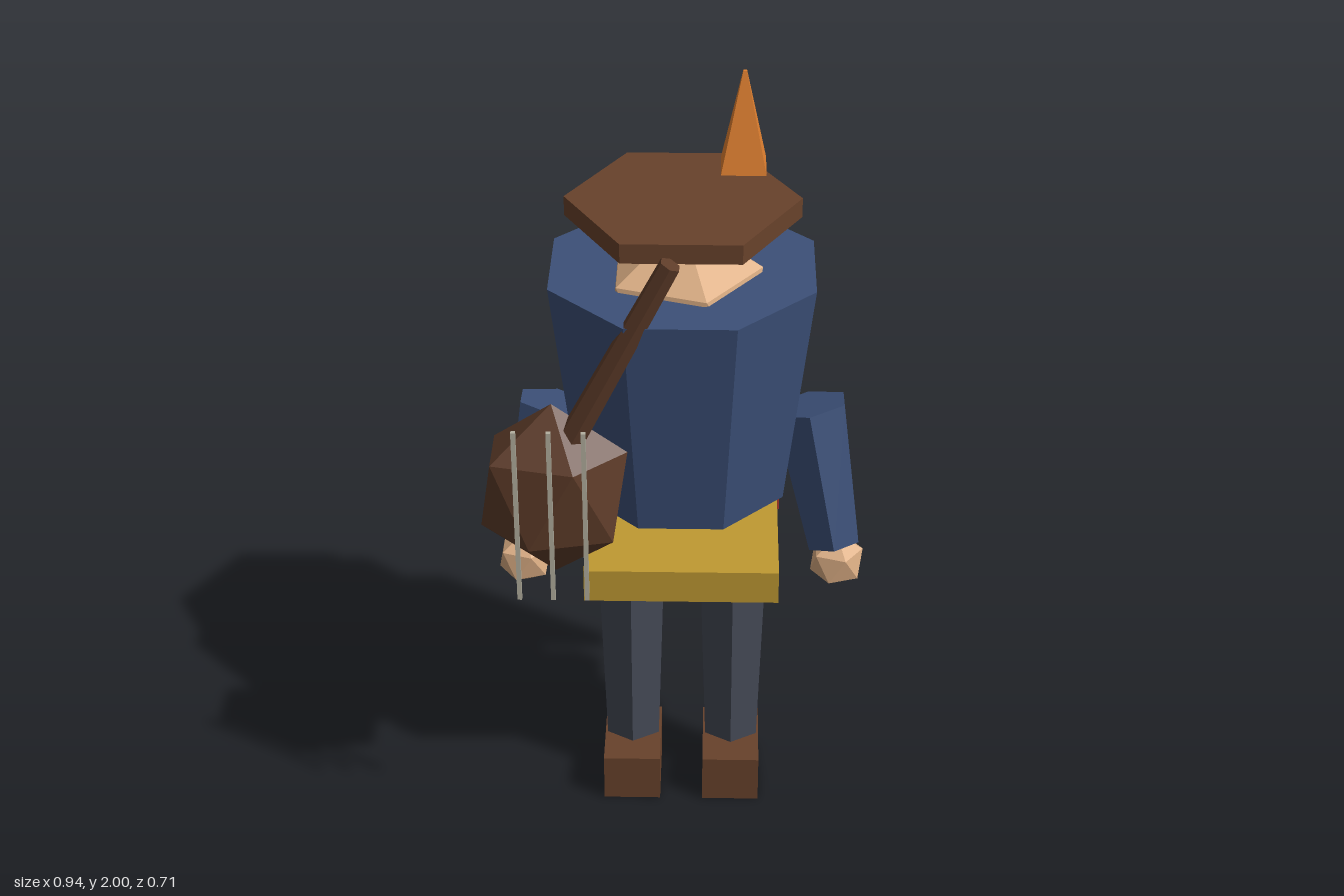
import * as THREE from 'three';
import { ConvexGeometry } from 'three/addons/geometries/ConvexGeometry.js';

const paint = (name, color) => {
  const m = new THREE.MeshStandardMaterial({ color, flatShading: true });
  m.name = name;
  return m;
};

// Icosahedron standing on one corner, with radii rx, ry, rz
function gem(rx, ry, rz) {
  const points = [new THREE.Vector3(0, ry, 0), new THREE.Vector3(0, -ry, 0)];
  for (let i = 0; i < 5; i++) {
    const a = (i * Math.PI * 2) / 5;
    const x = Math.cos(a) * 0.894 * rx, z = Math.sin(a) * 0.894 * rz;
    points.push(new THREE.Vector3(x, 0.447 * ry, z), new THREE.Vector3(-x, -0.447 * ry, z));
  }
  return new ConvexGeometry(points);
}

export function createModel() {
  const model = new THREE.Group();
  const blue = paint('blue cloth', 0x3c5078);
  const red = paint('red cloth', 0xb23c2e);
  const gold = paint('gold', 0xc09a32);
  const skin = paint('skin', 0xdcae84);
  const grey = paint('grey trousers', 0x464a57);
  const leather = paint('brown leather', 0x68422b);
  const wood = paint('dark wood', 0x5e3c29);
  const orange = paint('orange feather', 0xe08030);
  const string = paint('pale string', 0xb4b0a0);

  const add = (name, geometry, material, x, y, z) => {
    const mesh = new THREE.Mesh(geometry, material);
    mesh.name = name;
    mesh.position.set(x, y, z);
    model.add(mesh);
    return mesh;
  };
  const box = (name, material, w, h, d, x, y, z) =>
    add(name, new THREE.BoxGeometry(w, h, d), material, x, y, z);
  // Tapered prism running from a lower point to an upper point
  const limb = (name, material, from, to, rFrom, rTo, sides = 6) => {
    const a = new THREE.Vector3(...from), b = new THREE.Vector3(...to);
    const dir = b.clone().sub(a);
    const mid = a.clone().add(b).multiplyScalar(0.5);
    const mesh = add(name, new THREE.CylinderGeometry(rTo, rFrom, dir.length(), sides), material, mid.x, mid.y, mid.z);
    mesh.quaternion.setFromUnitVectors(new THREE.Vector3(0, 1, 0), dir.normalize());
    return mesh;
  };

  // Body
  const cx = 0.01;
  const torso = new THREE.CylinderGeometry(0.341, 0.27, 0.59, 8).rotateY(Math.PI / 8);
  add('torso', torso, blue, cx, 1.225, -0.039);
  box('belt', gold, 0.487, 0.09, 0.362, cx, 0.712, -0.033);
  box('cape', red, 0.504, 0.687, 0.06, cx, 1.014, -0.3);

  // Head, hat and feather
  add('head', gem(0.213, 0.213, 0.213), skin, cx, 1.435, -0.012);
  const brim = new THREE.CylinderGeometry(0.281, 0.281, 0.049, 6).rotateY(Math.PI / 6);
  add('hat', brim, leather, cx, 1.664, -0.058);
  const feather = new THREE.CylinderGeometry(0.006, 0.075, 0.24, 4).rotateY(Math.PI / 4);
  add('feather', feather, orange, 0.151, 1.88, -0.08);

  // Arms, hands, legs and feet
  for (const [side, s] of [['left', 1], ['right', -1]]) {
    limb(side + 'Arm', blue, [cx + s * 0.381, 0.785, 0.042], [cx + s * 0.312, 1.138, -0.035], 0.072, 0.1);
    add(side + 'Hand', gem(0.073, 0.073, 0.073), skin, 0.007 + s * 0.393, 0.731, 0.044);
    const lx = cx + s * 0.13;
    limb(side + 'Leg', grey, [lx, 0.12, -0.034], [lx, 0.7, -0.034], 0.078, 0.097);
    box(side + 'Foot', leather, 0.148, 0.132, 0.221, lx, 0.066, 0.008);
  }

  // Lute: bowl, neck and three strings
  add('luteBody', gem(0.199, 0.237, 0.132), wood, -0.294, 1.052, 0.225);
  limb('luteNeck', wood, [-0.25, 1.2, 0.243], [-0.013, 1.68, 0.265], 0.034, 0.026);
  for (let i = -1; i <= 1; i++) {
    box('luteString', string, 0.011, 0.47, 0.011, -0.293 + i * 0.081, 1.05, 0.346);
  }
  return model;
}
